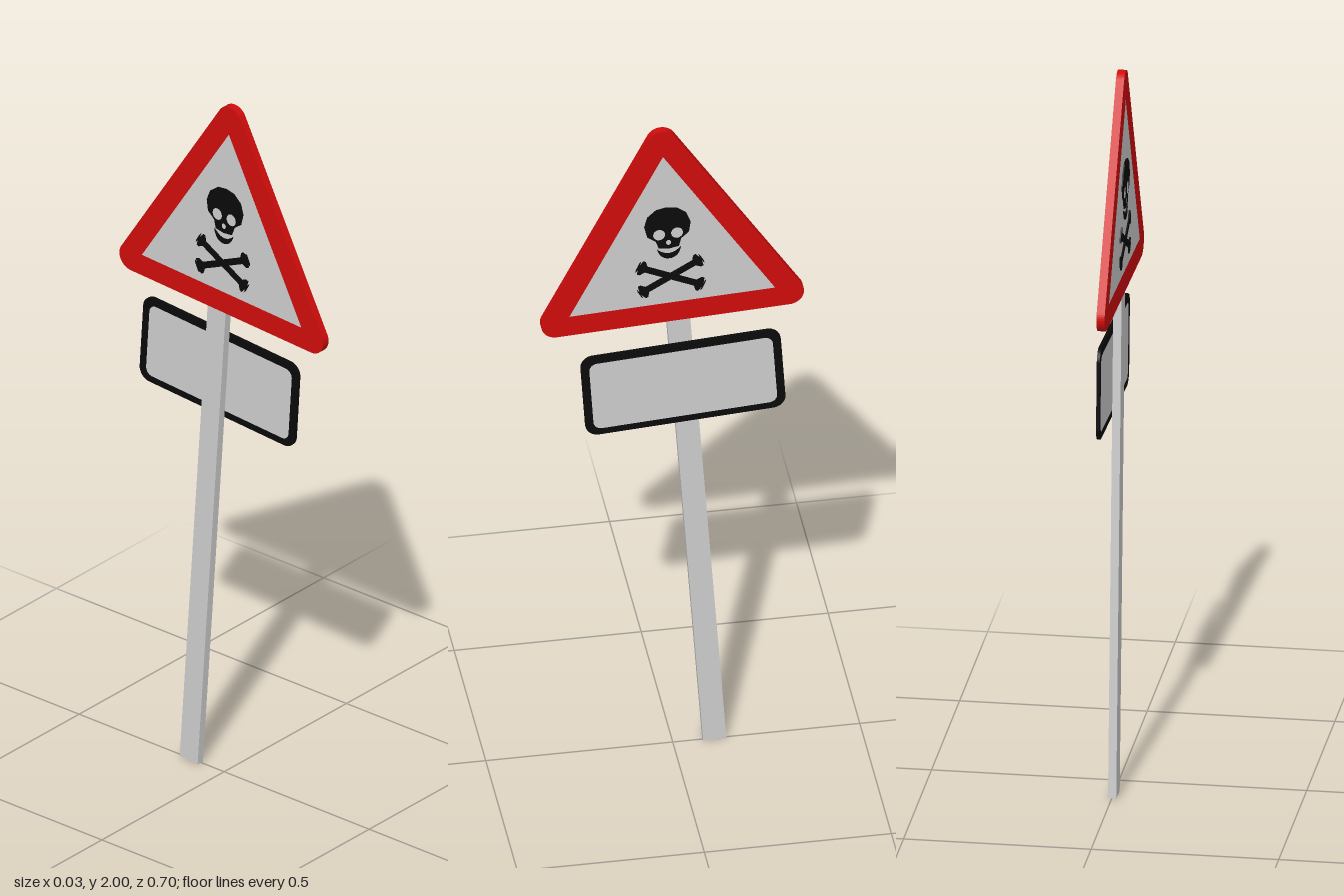
import * as THREE from 'three';

const deg = Math.PI / 180;

// Outline made of arcs of radius r around the given centres (counter-clockwise)
function roundedOutline(centres, r, Target = THREE.Shape) {
  const s = new Target();
  const half = Math.PI / centres.length;
  for (const [x, y, a] of centres) s.absarc(x, y, r, a - half, a + half, false);
  s.closePath();
  return s;
}

const triangleCorners = (R) => [90, 210, 330].map((d) => [R * Math.cos(d * deg), R * Math.sin(d * deg), d * deg]);

const rectCorners = (w, h, r, dy = 0) => [[1, 1, 45], [-1, 1, 135], [-1, -1, 225], [1, -1, 315]]
  .map(([sx, sy, d]) => [sx * (w / 2 - r), sy * (h / 2 - r) + dy, d * deg]);

function extrude(name, shapes, z0, z1, material) {
  const geo = new THREE.ExtrudeGeometry(shapes, { depth: z1 - z0, bevelEnabled: false, curveSegments: 8 });
  geo.translate(0, 0, z0);
  const mesh = new THREE.Mesh(geo, material);
  mesh.name = name;
  return mesh;
}

// Ellipse path for holes
function ellipse(x, y, rx, ry) {
  const p = new THREE.Path();
  p.absellipse(x, y, rx, ry, 0, Math.PI * 2, true);
  return p;
}

// Skull with eye and nose openings, plus a separate jaw
function skullShapes() {
  const side = [[0.028, 0.148], [0.052, 0.128], [0.062, 0.098], [0.056, 0.066], [0.034, 0.048], [0.027, 0.024]];
  const pts = [[0, 0.153], ...side, [0, 0.02], ...side.map(([x, y]) => [-x, y]).reverse()];
  const head = new THREE.Shape(pts.map(([x, y]) => new THREE.Vector2(x, y)));
  head.holes.push(ellipse(-0.024, 0.068, 0.016, 0.017), ellipse(0.024, 0.068, 0.016, 0.017), ellipse(0, 0.04, 0.007, 0.008));
  const jaw = new THREE.Shape();
  jaw.moveTo(-0.032, 0.02);
  jaw.quadraticCurveTo(-0.024, -0.012, 0, -0.012);
  jaw.quadraticCurveTo(0.024, -0.012, 0.032, 0.02);
  jaw.quadraticCurveTo(0.016, 0.003, 0, 0.003);
  jaw.quadraticCurveTo(-0.016, 0.003, -0.032, 0.02);
  return [head, jaw];
}

// One bone with two knobs at each end, turned by the given angle
function boneShape(angle) {
  const L = 0.086, w = 0.009;
  const pts = [];
  for (const [sx, sy] of [[1, -1], [1, 1], [-1, 1], [-1, -1]]) {
    const knob = [];
    for (let i = 0; i <= 6; i++) {
      const a = (-125 + i * 40) * deg;
      knob.push([sx * (L + 0.011 * Math.cos(a)), sy * (0.011 - 0.011 * Math.sin(a) * -1)]);
    }
    const ring = [[sx * (L - 0.014), sy * w], ...knob.filter(([, y]) => y * sy > 0.003).sort((p, q) => sx * (p[0] - q[0]))];
    pts.push(...(sx * sy > 0 ? ring.reverse() : ring));
  }
  const c = Math.cos(angle), s = Math.sin(angle);
  return new THREE.Shape(pts.map(([x, y]) => new THREE.Vector2(x * c - y * s, x * s + y * c - 0.072)));
}

export function createModel() {
  const red = new THREE.MeshStandardMaterial({ color: 0xd00c0c });
  red.name = 'red';
  const grey = new THREE.MeshStandardMaterial({ color: 0xcecece });
  grey.name = 'light grey';
  const black = new THREE.MeshStandardMaterial({ color: 0x0a0a0a });
  black.name = 'black';

  const model = new THREE.Group();
  model.name = 'warningSign';
  // Parts are drawn in a plane and turned so that the plane faces +x
  model.rotation.y = Math.PI / 2;
  const root = new THREE.Group();
  root.add(model);

  const addGroup = (name, x, y, tilt) => {
    const g = new THREE.Group();
    g.name = name;
    g.position.set(x, y, 0);
    g.rotation.z = tilt * deg;
    model.add(g);
    return g;
  };
  const back = -0.0135, front = 0.0085;

  // Leaning flat post
  const post = new THREE.Mesh(new THREE.BoxGeometry(0.062, 1.382, front - back), grey);
  post.name = 'post';
  post.position.set(0, 0.691, (front + back) / 2);
  addGroup('postGroup', 0.111, 0.002, 4).add(post);

  // Triangular sign: red rim around a grey panel
  const sign = addGroup('triangleSign', -0.011, 1.6, 3);
  const rim = roundedOutline(triangleCorners(0.36), 0.04);
  const inner = triangleCorners(0.318).map(([x, y]) => new THREE.Vector2(x, y));
  rim.holes.push(new THREE.Path(inner));
  sign.add(extrude('signRim', rim, back, front, red));
  sign.add(extrude('signPanel', new THREE.Shape(inner), back, front, grey));

  // Skull and crossed bones on both faces
  for (const [side, z0, z1] of [['front', front - 0.0005, front + 0.0035], ['back', back - 0.0035, back + 0.0005]]) {
    sign.add(extrude(side + 'Skull', skullShapes(), z0, z1, black));
    sign.add(extrude(side + 'BoneA', boneShape(27 * deg), z0, z1, black));
    sign.add(extrude(side + 'BoneB', boneShape(-27 * deg), z0, z1, black));
  }

  // Blank plate with a black border, fixed to the face of the post
  const plate = addGroup('lowerPlate', 0.025, 1.182, 3.8);
  const border = roundedOutline(rectCorners(0.536, 0.254, 0.035), 0.035);
  const field = rectCorners(0.492, 0.212, 0.022, -0.002);
  border.holes.push(roundedOutline(field, 0.022, THREE.Path));
  plate.add(extrude('plateBorder', border, front, 0.017, black));
  plate.add(extrude('platePanel', roundedOutline(field, 0.022), front, 0.017, grey));

  return root;
}
